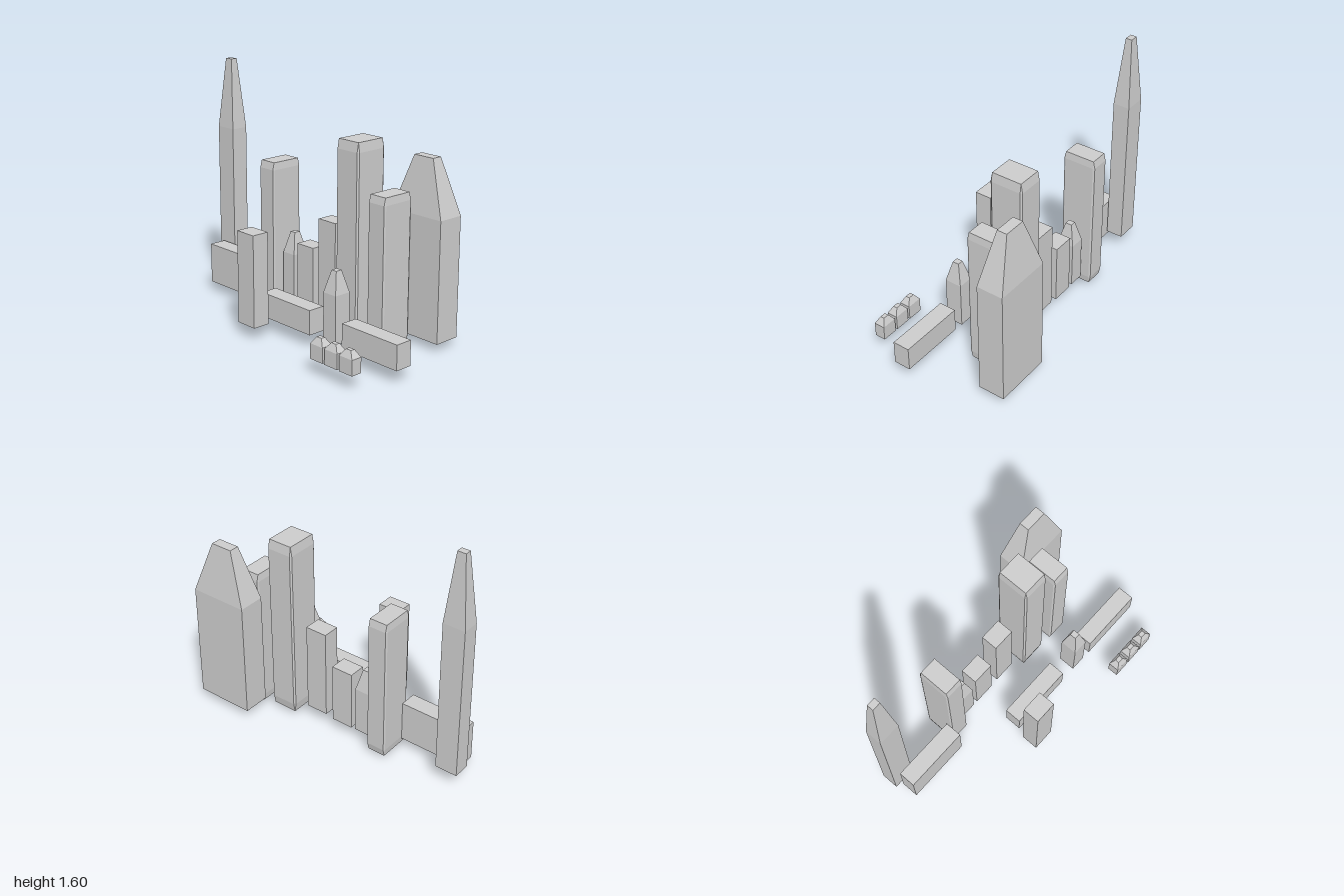
import * as THREE from 'three';
import { ConvexGeometry } from 'three/addons/geometries/ConvexGeometry.js';

const material = new THREE.MeshStandardMaterial({ color: 0xcccccc, flatShading: true });

// Unit tower whose upper part narrows to a small flat top
function taperedUnit(shoulder = 0.69, topScale = 0.38) {
  const box = new THREE.BoxGeometry(1, 1, 1, 1, 2, 1);
  const p = box.attributes.position;
  for (let i = 0; i < p.count; i++) {
    if (p.getY(i) > 0.25) p.setXYZ(i, p.getX(i) * topScale, 0.5, p.getZ(i) * topScale);
    else if (p.getY(i) > -0.25) p.setY(i, shoulder - 0.5);
  }
  const geometry = box.toNonIndexed();
  geometry.computeVertexNormals();
  return geometry;
}

// Unit block with every edge bevelled; the bevel stretches with the block
function bevelledUnit(bevel = 0.05) {
  const inner = 0.5 - bevel;
  const points = [];
  for (const x of [-1, 1]) for (const y of [-1, 1]) for (const z of [-1, 1]) {
    for (let axis = 0; axis < 3; axis++) {
      const v = new THREE.Vector3(x, y, z).multiplyScalar(inner);
      v.setComponent(axis, Math.sign(v.getComponent(axis)) * 0.5);
      points.push(v);
    }
  }
  return new ConvexGeometry(points);
}

export function createModel() {
  const city = new THREE.Group();
  city.name = 'citySkyline';
  const plain = new THREE.BoxGeometry(1, 1, 1);
  const tapered = taperedUnit();
  const bevelled = bevelledUnit();

  // Stretch a unit block between the given limits
  function building(name, geometry, [x0, x1], [y0, y1], [z0, z1]) {
    const mesh = new THREE.Mesh(geometry, material);
    mesh.name = name;
    mesh.scale.set(x1 - x0, y1 - y0, z1 - z0);
    mesh.position.set((x0 + x1) / 2, (y0 + y1) / 2, (z0 + z1) / 2);
    city.add(mesh);
  }

  // Towers with narrowing tops
  const row = [0.11, 0.225];
  building('tallSpire', tapered, row, [0.105, 1.6], [-1, -0.85]);
  building('wideSpire', tapered, [0.295, 0.474], [0.055, 1.18], [0.447, 0.84]);
  building('smallSpireRight', tapered, row, [0.09, 0.54], [-0.345, -0.241]);
  building('smallSpireLeft', tapered, [-0.225, -0.11], [0.09, 0.54], [0.392, 0.497]);

  // Large bevelled towers
  const broad = [0.053, 0.281];
  building('bevelledTowerBack', bevelled, broad, [0.035, 1.0], [-0.508, -0.373]);
  building('bevelledTowerMiddle', bevelled, broad, [0.04, 1.262], [0.207, 0.392]);
  building('bevelledTowerFront', bevelled, broad, [0.003, 0.97], [0.482, 0.618]);

  // Plain blocks
  building('blockShort', plain, row, [0.085, 0.49], [-0.21, -0.061]);
  building('blockTall', plain, row, [0.097, 0.7], [-0.008, 0.143]);
  building('blockLeft', plain, [-0.4, -0.284], [0.087, 0.686], [-0.193, -0.042]);

  // Long low halls
  building('hallBack', plain, [-0.018, 0.097], [0.067, 0.338], [-0.95, -0.507]);
  building('hallMiddle', plain, [-0.228, -0.114], [0.09, 0.25], [-0.166, 0.275]);
  building('hallFront', plain, [-0.228, -0.114], [0.09, 0.249], [0.555, 1.0]);

  // Row of little houses
  for (let i = 0; i < 3; i++) {
    const z = 0.55 + i * 0.12;
    building('house' + (i + 1), tapered, [-0.478, -0.405], [0.098, 0.238], [z, z + 0.104]);
  }
  return city;
}
